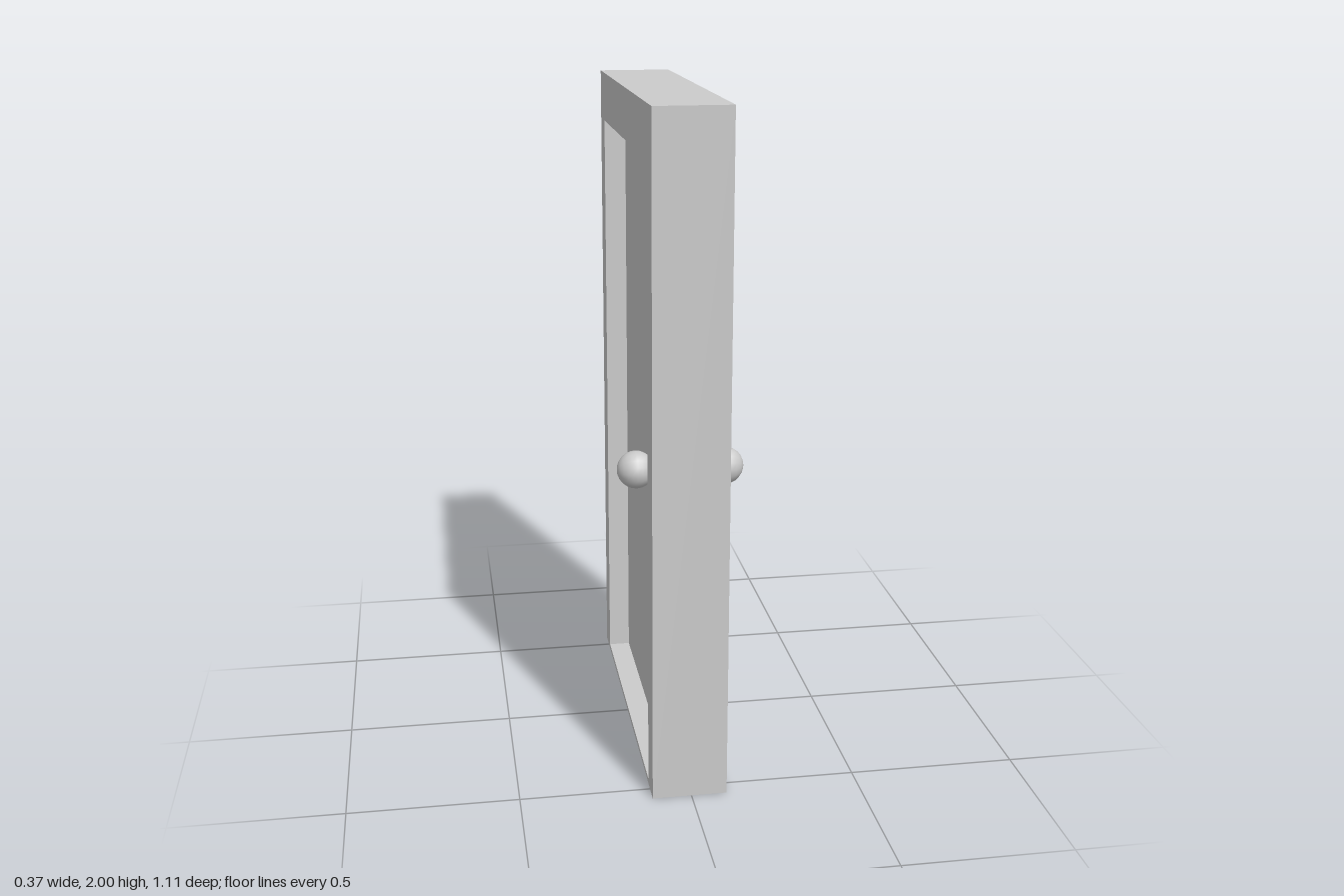
import * as THREE from 'three';

const material = new THREE.MeshStandardMaterial({ color: 0xcccccc });

function addMesh(parent, name, geometry) {
  const mesh = new THREE.Mesh(geometry, material);
  mesh.name = name;
  parent.add(mesh);
  return mesh;
}

// Closed rectangle path in (z, y)
function rectangle(path, halfWidth, bottom, top) {
  path.moveTo(-halfWidth, bottom);
  path.lineTo(halfWidth, bottom);
  path.lineTo(halfWidth, top);
  path.lineTo(-halfWidth, top);
  path.closePath();
  return path;
}

function lathe(points, segments) {
  return new THREE.LatheGeometry(points.map(([r, y]) => new THREE.Vector2(r, y)), segments);
}

// Knob built along +y, starting on the door surface
function createKnob(name, reach) {
  const knob = new THREE.Group();
  knob.name = name;

  // Shallow domed plate
  addMesh(knob, 'rosette', lathe([[0.068, 0], [0.062, 0.004], [0.045, 0.008], [0, 0.01]], 24));

  // Short neck, slightly flared at both ends
  addMesh(knob, 'neck', lathe([[0.026, 0.004], [0.02, 0.015], [0.02, reach - 0.055], [0.028, reach - 0.04]], 16));

  // Round handle
  const ball = addMesh(knob, 'ball', new THREE.SphereGeometry(0.055, 16, 12));
  ball.position.y = reach;
  return knob;
}

export function createModel() {
  const model = new THREE.Group();
  model.name = 'door';

  const frameMin = -0.115, frameDepth = 0.22;
  const doorMin = -0.048, doorMax = 0.03;
  const openingHalf = 0.467, openingBottom = 0.015, openingTop = 1.85;

  // Frame with sill, extruded across its depth and turned to face x
  const shape = rectangle(new THREE.Shape(), 0.555, 0, 2);
  shape.holes.push(rectangle(new THREE.Path(), openingHalf, openingBottom, openingTop));
  const frame = new THREE.ExtrudeGeometry(shape, { depth: frameDepth, bevelEnabled: false });
  frame.rotateY(Math.PI / 2);
  frame.translate(frameMin, 0, 0);
  addMesh(model, 'frame', frame);

  // Door panel recessed inside the frame
  const panel = addMesh(model, 'doorPanel',
    new THREE.BoxGeometry(doorMax - doorMin, openingTop - openingBottom, openingHalf * 2));
  panel.position.set((doorMin + doorMax) / 2, (openingBottom + openingTop) / 2, 0);

  // A knob on each side of the door
  for (const [name, side, face] of [['leftKnob', 1, doorMax], ['rightKnob', -1, doorMin]]) {
    const knob = createKnob(name, 0.13 - side * face);
    knob.rotation.z = -side * Math.PI / 2;
    knob.position.set(face, 0.945, 0.335);
    model.add(knob);
  }
  return model;
}
